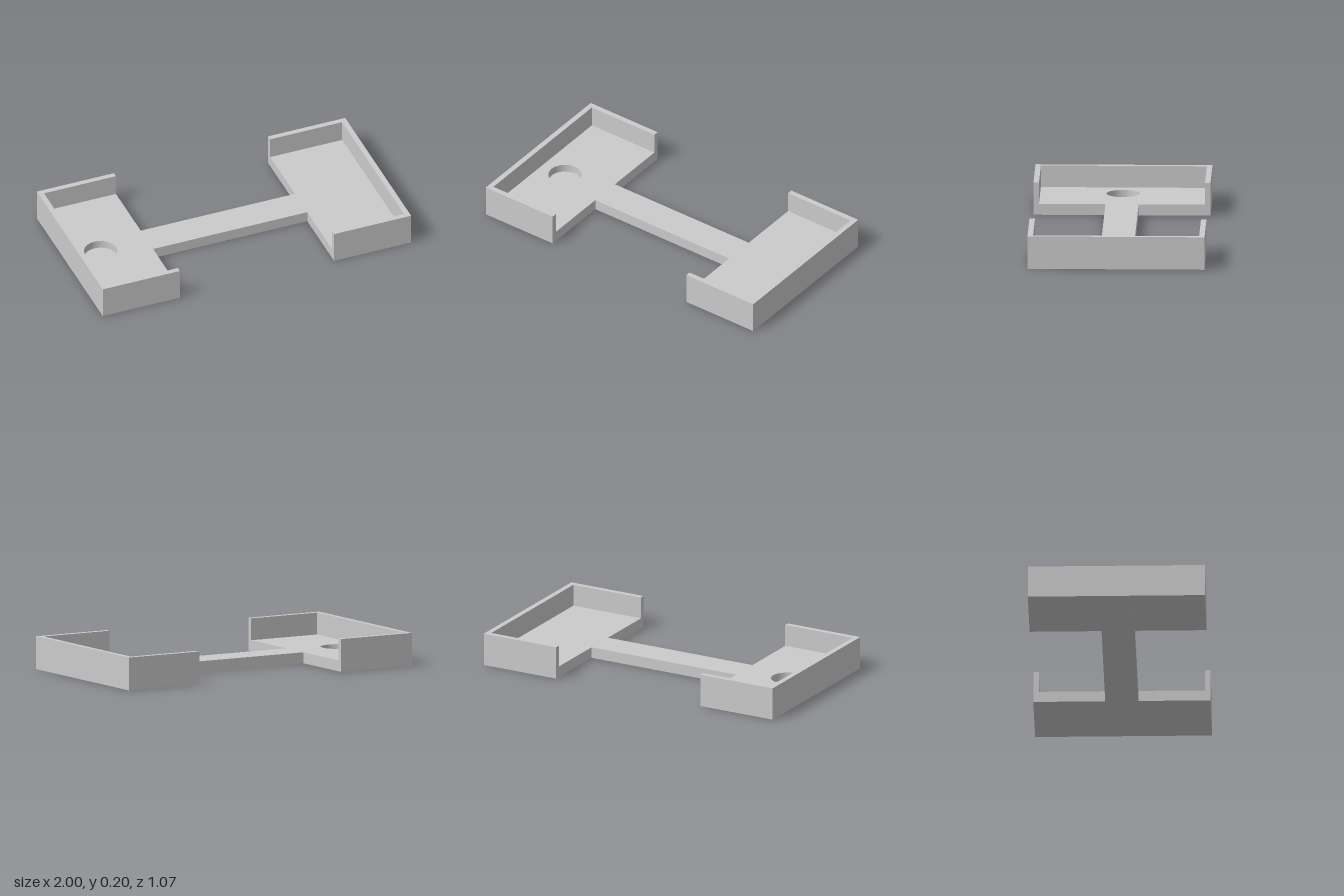
import * as THREE from 'three';
import { toCreasedNormals } from 'three/addons/utils/BufferGeometryUtils.js';

const WALL = 0.033, FLOOR = 0.067, HEIGHT = 0.2;
const HALF_X = 1, HALF_Z = 0.533, INNER_X = 0.5, BAR_Z = 0.1;
const HOLE = { x: -0.8, r: 0.1, depth: 0.05 };

const material = new THREE.MeshStandardMaterial({ color: 0xcccccc });

function part(name, geometry) {
  const mesh = new THREE.Mesh(geometry, material);
  mesh.name = name;
  return mesh;
}

// Extrudes a plan outline upwards from y = 0
function slab(shape, depth) {
  const geometry = new THREE.ExtrudeGeometry(shape, { depth, bevelEnabled: false, curveSegments: 64 });
  return toCreasedNormals(geometry.rotateX(-Math.PI / 2), 0.5);
}

function outline(points) {
  return new THREE.Shape(points.map(([x, z]) => new THREE.Vector2(x, z)));
}

export function createModel() {
  const group = new THREE.Group();
  group.name = 'doubleTray';
  const fx = HALF_X - WALL, fz = HALF_Z - WALL;

  // Two tray floors joined by a narrow bar, with a round pocket on one side
  const floor = outline([
    [-fx, -fz], [-INNER_X, -fz], [-INNER_X, -BAR_Z], [INNER_X, -BAR_Z], [INNER_X, -fz], [fx, -fz],
    [fx, fz], [INNER_X, fz], [INNER_X, BAR_Z], [-INNER_X, BAR_Z], [-INNER_X, fz], [-fx, fz],
  ]);
  floor.holes.push(new THREE.Path().absarc(HOLE.x, 0, HOLE.r, 0, Math.PI * 2, true));
  group.add(part('floorAndBar', slab(floor, FLOOR)));

  // Bottom of the pocket
  const base = FLOOR - HOLE.depth;
  const pocket = part('pocketBottom', new THREE.CylinderGeometry(HOLE.r, HOLE.r, base, 64));
  pocket.position.set(HOLE.x, base / 2, 0);
  group.add(pocket);

  // Three-sided rim around each tray, open towards the bar
  const rim = outline([
    [INNER_X, -HALF_Z], [HALF_X, -HALF_Z], [HALF_X, HALF_Z], [INNER_X, HALF_Z],
    [INNER_X, fz], [fx, fz], [fx, -fz], [INNER_X, -fz],
  ]);
  const rimGeometry = slab(rim, HEIGHT);
  ['leftRim', 'rightRim'].forEach((name, i) => {
    const mesh = part(name, rimGeometry);
    mesh.rotation.y = i * Math.PI;
    group.add(mesh);
  });

  return group;
}
